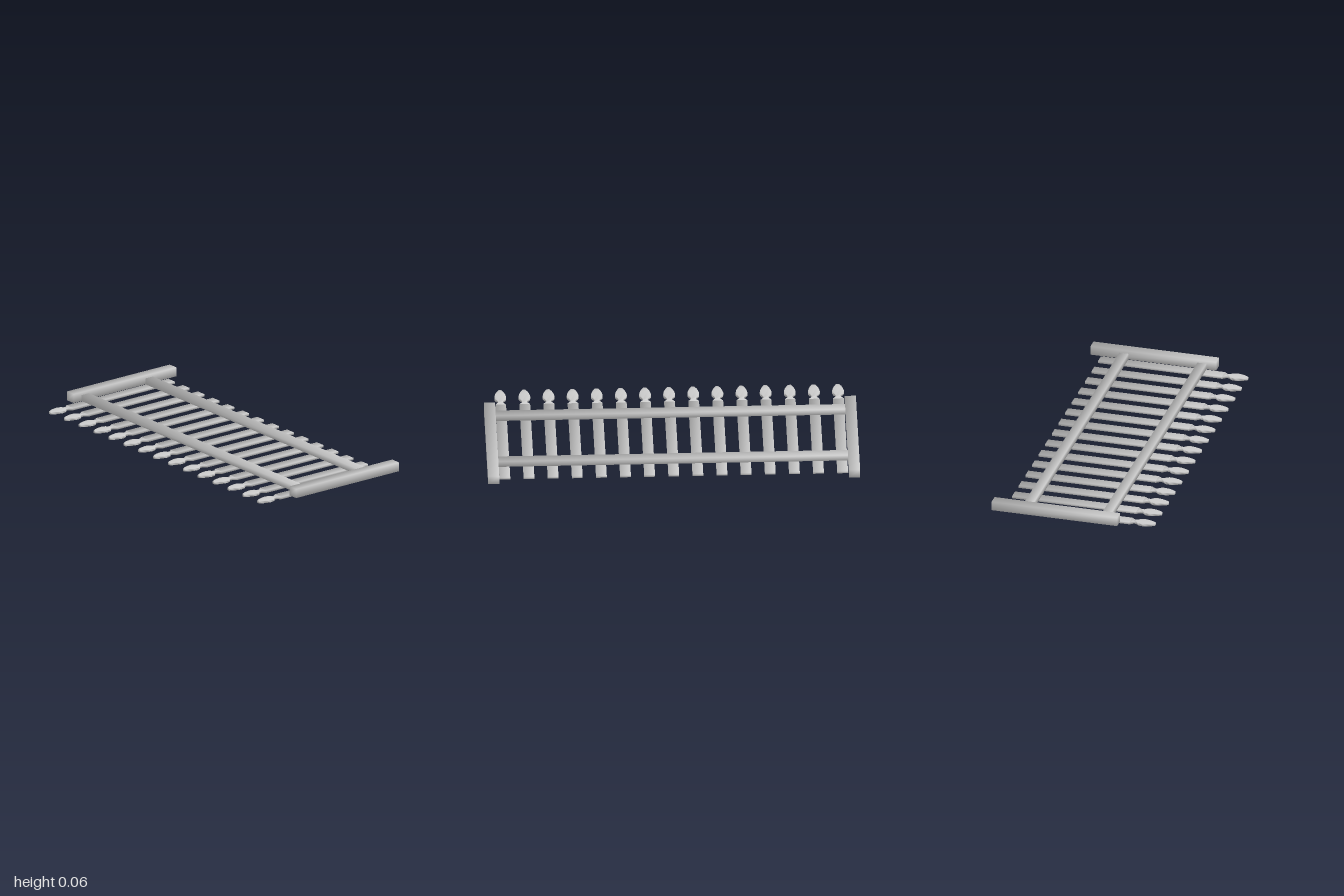
import * as THREE from 'three';
import { mergeVertices } from 'three/addons/utils/BufferGeometryUtils.js';

const metal = new THREE.MeshStandardMaterial({ color: 0xcccccc });
metal.name = 'pale grey';

// Box from min to max corners, with normals shared around each corner
function softBox(x0, x1, y0, y1, z0, z1) {
  const geo = new THREE.BoxGeometry(x1 - x0, y1 - y0, z1 - z0);
  const pos = geo.attributes.position;
  const n = new THREE.Vector3();
  for (let i = 0; i < pos.count; i++) {
    n.set(Math.sign(pos.getX(i)), Math.sign(pos.getY(i)), Math.sign(pos.getZ(i))).normalize();
    geo.attributes.normal.setXYZ(i, n.x, n.y, n.z);
  }
  return geo.translate((x0 + x1) / 2, (y0 + y1) / 2, (z0 + z1) / 2);
}

// Flat spearhead: neck, bulge and blunt tip, smooth shaded
function spearHead(thickness) {
  const half = [
    [0.029, 0.308], [0.013, 0.328], [0.013, 0.342], [0.024, 0.352], [0.031, 0.366],
    [0.032, 0.38], [0.028, 0.402], [0.02, 0.425], [0.008, 0.445],
  ];
  const outline = [...half, ...half.map(([x, z]) => [-x, z]).reverse()];
  const shape = new THREE.Shape(outline.map(([x, z]) => new THREE.Vector2(x, z)));
  let geo = new THREE.ExtrudeGeometry(shape, { depth: thickness, bevelEnabled: false });
  geo.rotateX(Math.PI / 2).translate(0, thickness, 0);
  geo.deleteAttribute('normal');
  geo.deleteAttribute('uv');
  geo = mergeVertices(geo);
  geo.computeVertexNormals();
  return geo;
}

export function createModel() {
  const model = new THREE.Group();
  model.name = 'fencePanel';
  const add = (geo, name, parent = model) => {
    const mesh = new THREE.Mesh(geo, metal);
    mesh.name = name;
    parent.add(mesh);
    return mesh;
  };

  // End posts
  add(softBox(0.94, 1, 0.013, 0.063, -0.445, 0.257), 'leftPost');
  add(softBox(-1, -0.94, 0.013, 0.063, -0.445, 0.257), 'rightPost');

  // Long rails between the posts
  add(softBox(-0.94, 0.94, 0.013, 0.047, -0.283, -0.233), 'lowerRail');
  add(softBox(-0.94, 0.94, 0.013, 0.047, 0.153, 0.203), 'upperRail');

  // Row of pickets, each a flat slat with a spearhead
  const slat = softBox(-0.029, 0.029, 0, 0.013, -0.385, 0.308);
  const head = spearHead(0.013);
  for (let i = 0; i < 15; i++) {
    const picket = new THREE.Group();
    picket.name = 'picket' + (i + 1);
    picket.position.x = (i - 7) * 0.1297;
    add(slat, 'slat', picket);
    add(head, 'spearHead', picket);
    model.add(picket);
  }
  return model;
}
